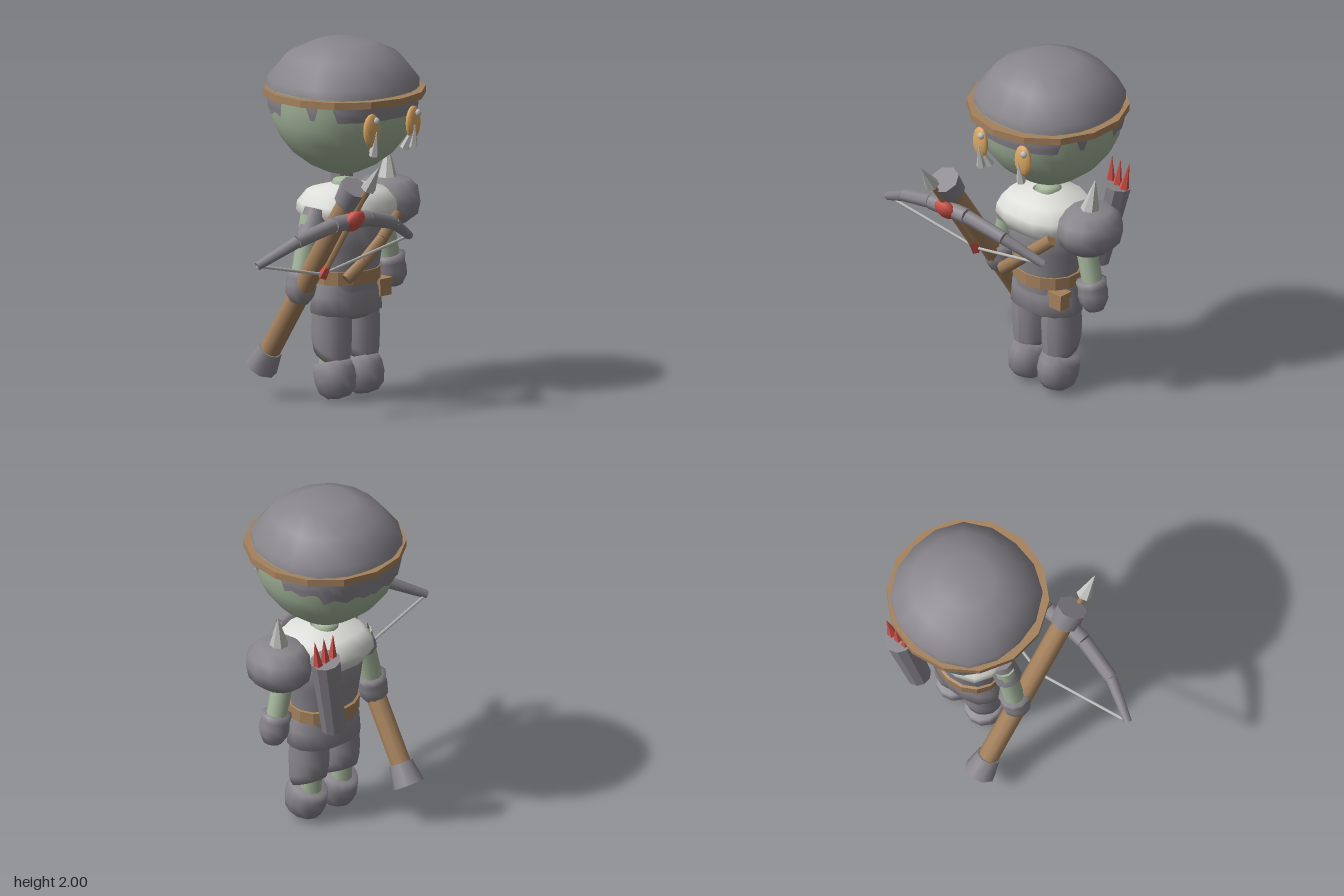
import * as THREE from 'three';
import { ParametricGeometry } from 'three/addons/geometries/ParametricGeometry.js';

const mat = (name, color) => Object.assign(new THREE.MeshStandardMaterial({ color }), { name });
const V = (x, y, z) => new THREE.Vector3(x, y, z);

export function createModel() {
  const model = new THREE.Group();
  model.name = 'crossbowFigure';
  const grey = mat('cloth grey', 0x89868c);
  const green = mat('green skin', 0xa5b69c);
  const brown = mat('leather brown', 0xa5815d);
  const orange = mat('eye orange', 0xdca863);
  const red = mat('red', 0xd1534b);
  const fur = mat('pale fur', 0xdededa);
  const steel = mat('steel', 0xc1c1bf);

  const add = (name, geometry, material) => {
    const mesh = new THREE.Mesh(geometry, material);
    mesh.name = name;
    model.add(mesh);
    return mesh;
  };
  const flat = (g) => {
    const f = g.toNonIndexed();
    f.computeVertexNormals();
    return f;
  };
  // Straight tapered bar from a to b
  const rod = (name, material, a, b, r0, r1, sides = 8, faceted = false) => {
    const g = new THREE.CylinderGeometry(r1, r0, a.distanceTo(b), sides);
    const m = add(name, faceted ? flat(g) : g, material);
    m.position.copy(a).lerp(b, 0.5);
    m.quaternion.setFromUnitVectors(V(0, 1, 0), b.clone().sub(a).normalize());
    return m;
  };
  // Lathe whose round section can be pushed towards a rounded square
  const bulge = (angle, amount) => 1 + amount * Math.sin(2 * angle) ** 2;
  const lathe = (points, sides, square = 0) => {
    const g = new THREE.LatheGeometry(points.map(([r, y]) => new THREE.Vector2(r, y)), sides);
    const p = g.attributes.position;
    for (let i = 0; i < p.count; i++) {
      const k = bulge(Math.atan2(p.getX(i), p.getZ(i)), square);
      p.setXYZ(i, p.getX(i) * k, p.getY(i), p.getZ(i) * k);
    }
    return g;
  };
  const turned = (name, material, points, sides, x, y, z, sz = 1, square = 0) => {
    const m = add(name, lathe(points, sides, square), material);
    m.position.set(x, y, z);
    m.scale.z = sz;
    return m;
  };
  const ball = (name, material, x, y, z, rx, ry, rz, w = 12, h = 8) => {
    const m = add(name, new THREE.SphereGeometry(1, w, h), material);
    m.position.set(x, y, z);
    m.scale.set(rx, ry, rz);
    return m;
  };

  // Head
  const cx = 0.23, hz = -0.11, headSquare = 0.04;
  const lower = [[0, 1.26], [0.09, 1.272], [0.18, 1.315], [0.27, 1.385], [0.335, 1.47],
    [0.375, 1.56], [0.395, 1.66], [0.4, 1.75]];
  turned('head', green, lower, 32, cx, 0, hz, 1, headSquare);
  turned('hoodCap', grey, [[0.4, 1.7], [0.4, 1.8], [0.3, 1.93], [0.155, 2], [0, 2]],
    16, cx, 0, hz, 1, headSquare + 0.01);
  const band = add('headband', flat(lathe(
    [[0.38, 1.706], [0.45, 1.706], [0.45, 1.746], [0.38, 1.746]], 14)), brown);
  band.position.set(cx, 0, -0.097);

  // Ragged hood edge lying just outside the head
  const radiusAt = (y) => {
    const i = lower.findIndex((p) => p[1] >= y);
    const [a, b] = [lower[i - 1], lower[i]];
    return a[0] + (b[0] - a[0]) * (y - a[1]) / (b[1] - a[1]);
  };
  const edgeAt = (deg) => {
    if (deg < 49) return 1.62;
    if (deg < 64) return 1.705;
    if (deg < 74) return 1.625;
    if (deg < 103) return 1.705;
    return (deg < 138 ? 1.62 : 1.58) + 0.012 * Math.sin(deg * 0.35);
  };
  add('hoodEdge', new ParametricGeometry((u, v, target) => {
    const a = (u * 2 - 1) * Math.PI;
    const low = edgeAt(Math.abs(a) * 180 / Math.PI);
    const y = low + (1.735 - low) * v;
    const r = (radiusAt(y) + 0.006) * bulge(a, headSquare);
    target.set(cx + Math.sin(a) * r, y, hz + Math.cos(a) * r);
  }, 96, 4), grey);

  // Eyes with pupils and hanging steel points
  for (const s of [-1, 1]) {
    const x = cx + s * 0.16;
    ball('eye', orange, x, 1.577, 0.278, 0.057, 0.095, 0.025).rotation.y = s * 0.1;
    ball('pupil', steel, x + 0.02, 1.63, 0.295, 0.021, 0.021, 0.018, 8, 6);
    for (const d of [-0.016, 0.018]) {
      rod('eyeSpike', steel, V(x - s * 0.025 + d, 1.438 + d * 0.3, 0.268 + d * s),
        V(x - s * 0.012, 1.57, 0.306), 0.027, 0.002, 5, true);
    }
  }

  // Neck, torso, fur collar
  turned('neck', green, [[0.075, 1.1], [0.075, 1.2], [0.06, 1.228], [0, 1.242]], 12, cx, 0, -0.1);
  turned('tunic', grey, [[0.19, 0.62], [0.2, 0.74], [0.222, 0.88], [0.238, 1], [0.17, 1.1], [0, 1.12]],
    14, cx, 0, -0.085, 0.82);
  turned('skirt', grey, [[0, 0.49], [0.15, 0.458], [0.225, 0.495], [0.218, 0.59], [0.195, 0.68]],
    16, cx, 0, -0.085, 0.67, 0.05);
  turned('furCollar', fur, [[0.12, 0.98], [0.22, 0.995], [0.26, 1.06], [0.255, 1.11], [0.205, 1.175], [0.07, 1.205]],
    16, cx, 0, -0.082, 0.9, 0.13);

  // Belt, pouch, chest strap
  const belt = add('belt', flat(lathe([[0.18, 0.657], [0.208, 0.662], [0.21, 0.735], [0.18, 0.742]], 14)), brown);
  belt.position.set(cx, 0, -0.09);
  belt.scale.z = 0.83;
  add('pouch', new THREE.BoxGeometry(0.085, 0.095, 0.075), brown).position.set(0.41, 0.61, 0.005);
  add('pouchFlap', new THREE.BoxGeometry(0.1, 0.03, 0.085), brown).position.set(0.41, 0.645, 0.005);
  const strap = [V(0.06, 0.71, 0.09), V(0.17, 0.8, 0.115), V(0.3, 0.91, 0.125), V(0.44, 1.03, 0.1)];
  for (let i = 0; i < 3; i++) {
    rod('chestStrap', brown, strap[i], strap[i + 1], 0.037, 0.037, 8).scale.z = 0.8;
  }

  // Legs: the padded thigh hangs lower in front and leaves the shin bare behind
  const thighShape = lathe([[0, 0.25], [0.095, 0.245], [0.106, 0.3], [0.11, 0.4], [0.104, 0.53]], 14);
  const p = thighShape.attributes.position;
  for (let i = 0; i < p.count; i++) {
    if (p.getY(i) < 0.32) p.setY(i, p.getY(i) - p.getZ(i) * 0.5);
  }
  thighShape.computeVertexNormals();
  for (const s of [-1, 1]) {
    const x = cx + s * 0.108;
    const thigh = add('thigh', thighShape, grey);
    thigh.position.set(x, 0, -0.09);
    thigh.scale.z = 1.08;
    rod('shin', green, V(x, 0.12, -0.105), V(x, 0.42, -0.115), 0.058, 0.062, 10);
    const boot = turned('boot', grey,
      [[0, -0.112], [0.06, -0.103], [0.1, -0.065], [0.114, 0], [0.112, 0.05], [0.1, 0.1], [0, 0.1]],
      12, x, 0.12, -0.06, 1.12);
    boot.rotation.x = -0.28;
  }

  // Arms and gloves
  for (const s of [-1, 1]) {
    const at = (dx, y) => V(cx + s * dx, y, -0.09);
    rod('arm', green, at(0.265, 1.06), at(0.35, 0.7), 0.06, 0.058, 10);
    const glove = turned('glove', grey,
      [[0, -0.1], [0.05, -0.09], [0.08, -0.04], [0.086, 0.01], [0.08, 0.045], [0.088, 0.085], [0.05, 0.085]],
      10, cx + s * 0.35, 0.67, -0.085);
    glove.rotation.z = s * 0.18;
  }
  rod('shortSleeve', grey, V(-0.055, 0.94, -0.08), V(0, 1.09, -0.08), 0.08, 0.07, 10);

  // Spiked shoulder guard
  turned('shoulderGuard', grey,
    [[0, -0.135], [0.1, -0.125], [0.165, -0.07], [0.18, 0], [0.168, 0.07], [0.115, 0.122], [0, 0.132]],
    12, 0.55, 1.065, -0.09, 1.1);
  rod('shoulderSpike', steel, V(0.55, 1.17, -0.09), V(0.575, 1.375, -0.11), 0.06, 0.001, 7, true);

  // Quiver with arrow points
  const qTop = V(0.47, 1.2, -0.395), qLow = V(0.37, 0.71, -0.345);
  rod('quiver', grey, qLow, qTop, 0.07, 0.086, 10, true);
  for (const dx of [-0.05, 0, 0.05]) {
    const base = qTop.clone().add(V(dx, -0.02, 0));
    rod('quiverArrow', red, base, base.clone().add(V(dx * 0.3 + 0.02, 0.17, -0.01)), 0.03, 0.001, 5, true);
  }

  // Crossbow stock, held upright beside the body
  const bx = -0.13, dir = V(0, 0.837, 0.547);
  const butt = V(bx, 0.175, -0.386), nose = V(bx, 1.3, 0.358);
  const along = (from, t) => from.clone().addScaledVector(dir, t);
  rod('stock', brown, along(butt, 0.03), along(nose, -0.03), 0.058, 0.058, 10);
  rod('buttCap', grey, butt, along(butt, 0.13), 0.092, 0.068, 8);
  rod('noseCap', grey, along(nose, -0.12), nose, 0.078, 0.088, 8);

  // Loaded bolt
  const tip = V(bx, 1.445, 0.545);
  rod('boltHead', steel, along(tip, -0.165), tip, 0.044, 0.001, 6, true);
  rod('boltShaft', brown, along(tip, -0.78), along(tip, -0.16), 0.018, 0.018, 6);
  rod('boltFletching', red, along(tip, -0.82), along(tip, -0.7), 0.03, 0.012, 5, true);
  ball('bowGrip', red, bx, 1.11, 0.345, 0.069, 0.072, 0.042, 10, 6).rotation.x = 0.58;

  // Bow limbs and string
  const limb = [[0, 1.105, 0.32], [0.13, 1.1, 0.315], [0.37, 1.035, 0.275], [0.585, 0.915, 0.18]];
  const radii = [0.046, 0.042, 0.034, 0.02];
  for (const s of [-1, 1]) {
    const pts = limb.map(([dx, y, z]) => V(bx + s * dx, y, z));
    for (let i = 0; i < 3; i++) {
      rod('bowLimb', grey, pts[i], pts[i + 1], radii[i], radii[i + 1] + 0.004, 8);
    }
    rod('bowString', steel, pts[3], V(bx, 0.77, 0.095), 0.009, 0.009, 5);
  }
  return model;
}
